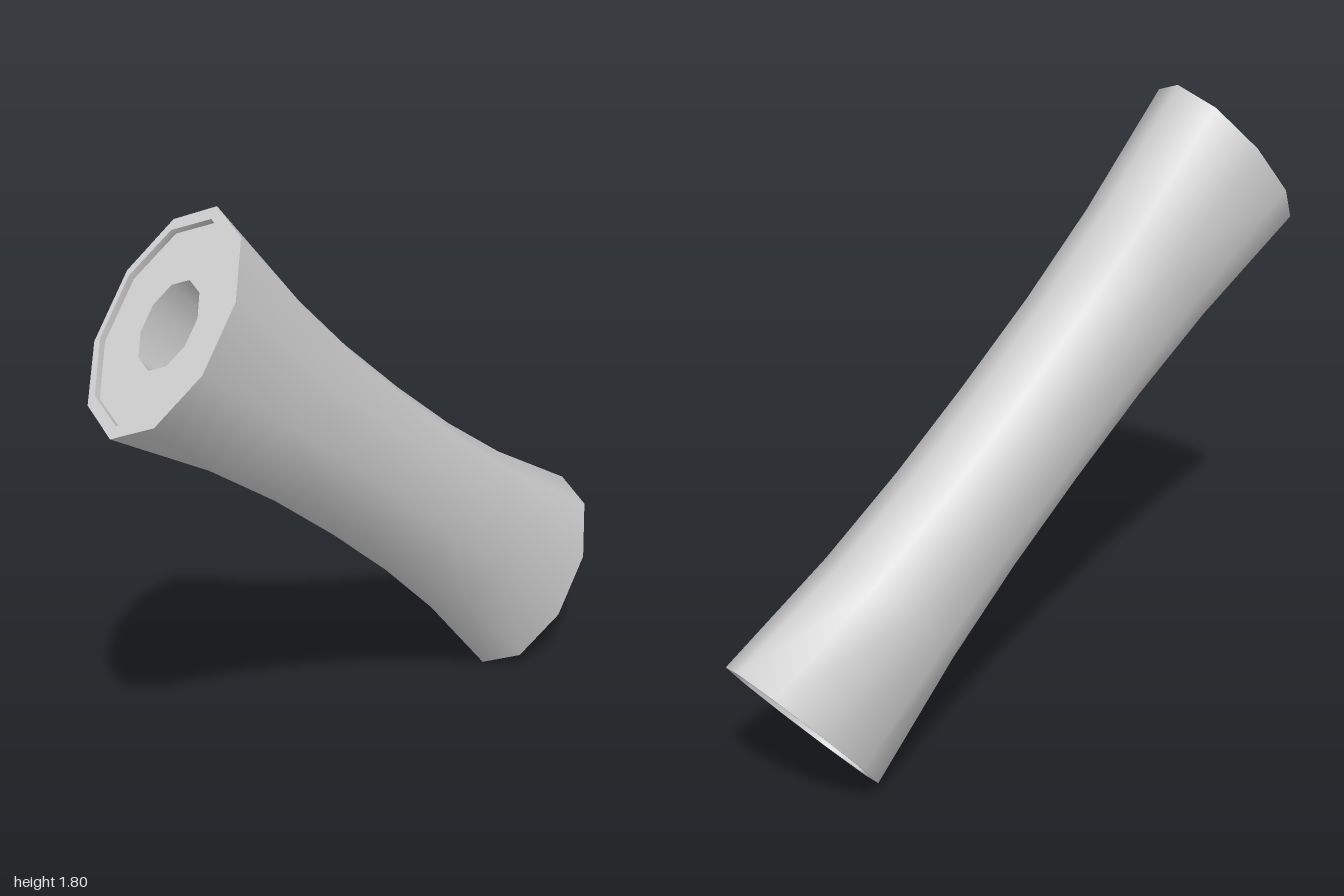
import * as THREE from 'three';

const SIDES = 10;
const material = new THREE.MeshStandardMaterial({ color: 0xcccccc });

// Skin of elliptical rings [height, radius across, radius deep], smooth inside one strip
function strip(name, rings) {
  const positions = [], index = [];
  rings.forEach(([y, a, b], i) => {
    for (let j = 0; j < SIDES; j++) {
      const t = (j / SIDES) * Math.PI * 2;
      positions.push(a * Math.cos(t), y, b * Math.sin(t));
      if (i === rings.length - 1) continue;
      const k = (j + 1) % SIDES;
      const p = i * SIDES + j, q = i * SIDES + k;
      index.push(p, p + SIDES, q, q, p + SIDES, q + SIDES);
    }
  });
  const geometry = new THREE.BufferGeometry();
  geometry.setAttribute('position', new THREE.Float32BufferAttribute(positions, 3));
  geometry.setIndex(index);
  geometry.computeVertexNormals();
  const mesh = new THREE.Mesh(geometry, material);
  mesh.name = name;
  return mesh;
}

export function createModel() {
  const model = new THREE.Group();
  model.name = 'flaredTube';

  // Waisted outer body, symmetric about its middle
  const half = [[1.025, 0.323, 0.195], [0.62, 0.26, 0.187], [0.31, 0.236, 0.184]];
  const body = [
    ...half.map(([y, a, b]) => [-y, a, b]),
    [0, 0.23, 0.184],
    ...half.slice().reverse(),
  ];
  model.add(strip('outerBody', body));

  // Each end: flat rim, shallow step and recessed face around the bore
  const end = 1.025, floor = 1.003;
  const bores = { upper: [0.126, 0.08], lower: [0.078, 0.046] };
  for (const [place, s] of [['upper', 1], ['lower', -1]]) {
    const outer = [s * end, 0.323, 0.195];
    const lip = [s * end, 0.287, 0.181];
    const step = [s * floor, 0.287, 0.181];
    const hole = [s * floor, ...bores[place]];
    const add = (part, from, to) =>
      model.add(strip(place + part, s > 0 ? [from, to] : [to, from]));
    add('Rim', outer, lip);
    add('RimStep', lip, step);
    add('EndFace', step, hole);
  }

  // Tapered bore through the length
  model.add(strip('bore', [[floor, ...bores.upper], [-floor, ...bores.lower]]));

  // Lean the tube over to its left
  model.rotation.z = 0.884;
  model.position.y = 0.9;
  const root = new THREE.Group();
  root.add(model);
  return root;
}
